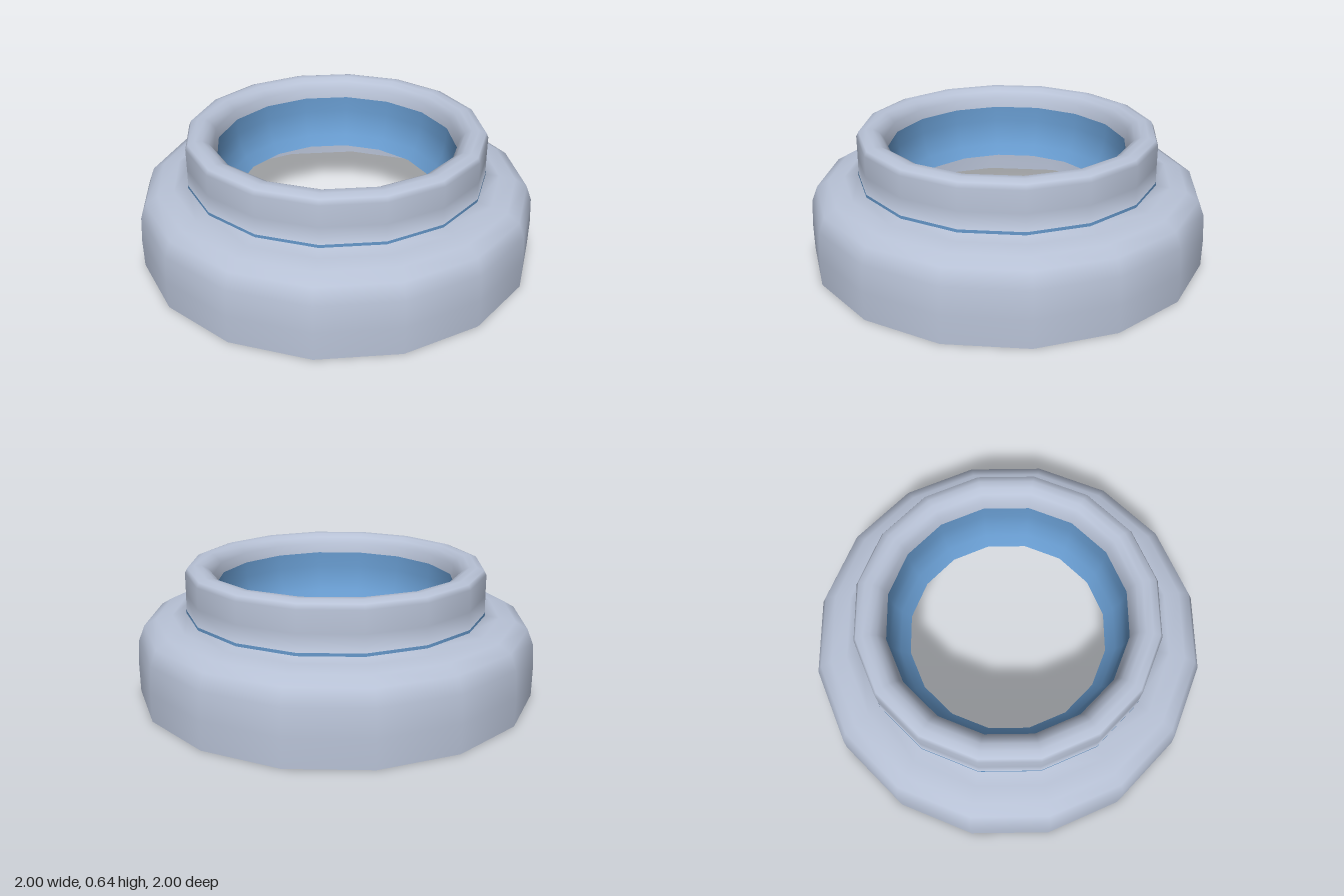
import * as THREE from 'three';

const SIDES = 16;

export function createModel() {
  const group = new THREE.Group();
  const grey = new THREE.MeshStandardMaterial({ color: 0xb8c2d6, side: THREE.DoubleSide });
  grey.name = 'pale grey';
  const blue = new THREE.MeshStandardMaterial({ color: 0x6699cc, side: THREE.DoubleSide });
  blue.name = 'blue';

  // Turn a [radius, height] profile into a smooth sixteen-sided ring
  const ring = (name, profile, material) => {
    const points = profile.map(([r, y]) => new THREE.Vector2(r, y));
    const mesh = new THREE.Mesh(new THREE.LatheGeometry(points, SIDES), material);
    mesh.name = name;
    group.add(mesh);
  };

  // Open skirt, rounded shoulder, neck and rolled rim
  ring('outerShell', [
    [1, 0], [1, 0.14], [0.99, 0.27], [0.96, 0.345], [0.9, 0.38], [0.82, 0.393],
    [0.75, 0.4], [0.748, 0.5], [0.747, 0.605], [0.735, 0.628], [0.7, 0.64],
    [0.665, 0.638], [0.635, 0.622], [0.612, 0.59], [0.6, 0.54],
  ], grey);

  // Inner collar, tapering to the open lower lip
  ring('innerCollar', [
    [0.6, 0.54], [0.597, 0.46], [0.585, 0.39], [0.555, 0.33], [0.51, 0.28],
  ], blue);

  // Fine seam at the foot of the neck, showing outside and inside
  for (const [name, r] of [['outerSeam', 0.752], ['innerSeam', 0.746]]) {
    ring(name, [[r, 0.401], [r, 0.416]], blue);
  }
  return group;
}
